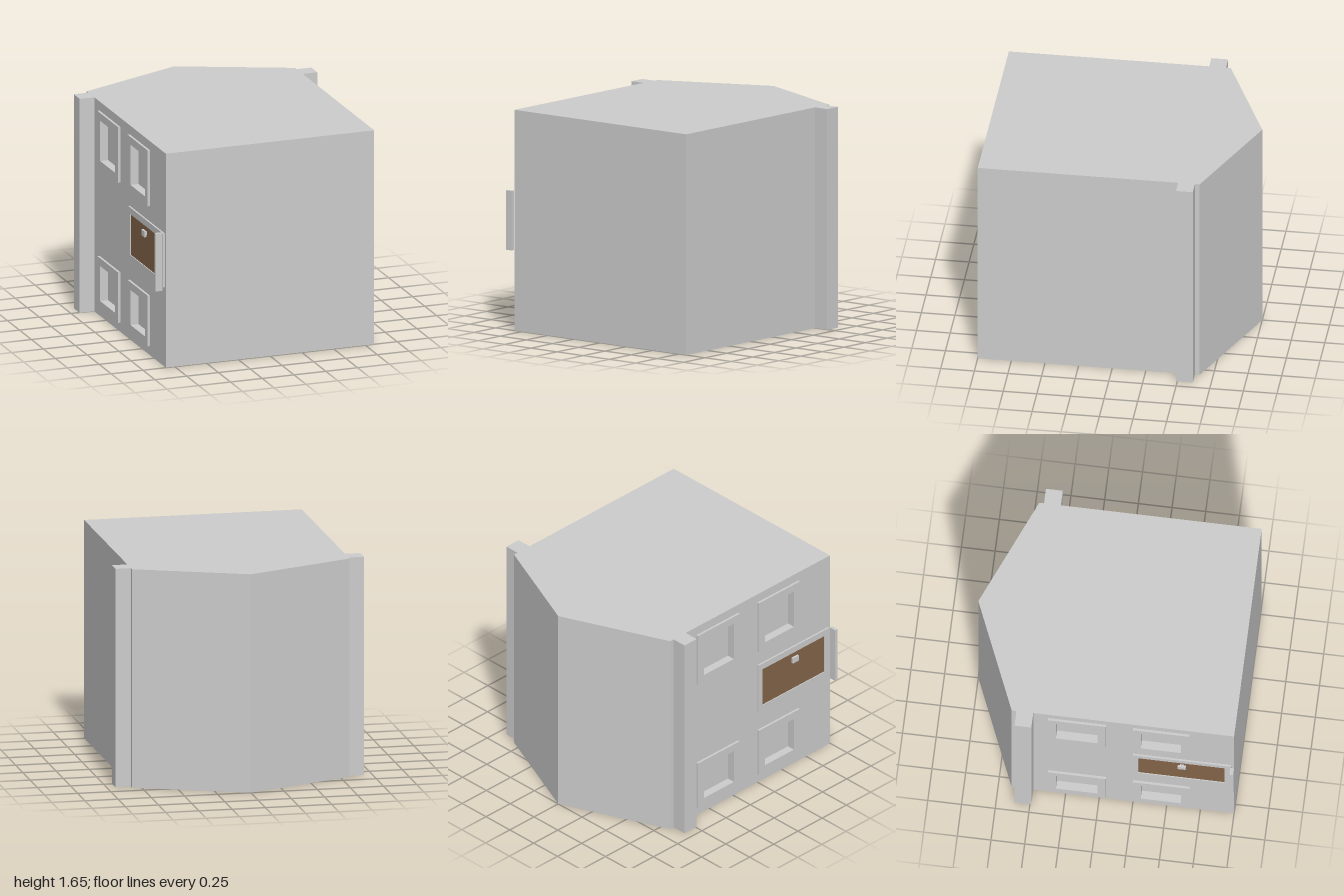
import * as THREE from 'three';

const H = 1.65;      // body height
const W = 0.82;      // half width of the body
const INNER = 0.775; // plane of the recessed panes

export function createModel() {
  const plaster = new THREE.MeshStandardMaterial({ color: 0xcccccc });
  plaster.name = 'plaster grey';
  const wood = new THREE.MeshStandardMaterial({ color: 0x836448 });
  wood.name = 'door brown';
  const house = new THREE.Group();
  house.name = 'house';

  const add = (geometry, material, name) => {
    const mesh = new THREE.Mesh(geometry, material);
    mesh.name = name;
    house.add(mesh);
  };
  const trace = (path, pts) => {
    path.setFromPoints(pts.map(([a, b]) => new THREE.Vector2(a, b)));
    return path;
  };
  const rect = (path, [z0, z1, y0, y1]) =>
    trace(path, [[z0, y0], [z1, y0], [z1, y1], [z0, y1]]);
  // Slab in the z-y plane with holes, from x = -inner out to x = -outer
  const sidePlate = (outline, holes, inner, outer) => {
    const shape = rect(new THREE.Shape(), outline);
    holes.forEach((h) => shape.holes.push(rect(new THREE.Path(), h)));
    return new THREE.ExtrudeGeometry(shape, { depth: outer - inner, bevelEnabled: false })
      .rotateY(-Math.PI / 2)
      .translate(-inner, 0, 0);
  };
  const box = (x0, x1, y0, y1, z0, z1) =>
    new THREE.BoxGeometry(x1 - x0, y1 - y0, z1 - z0)
      .translate((x0 + x1) / 2, (y0 + y1) / 2, (z0 + z1) / 2);
  const inset = ([z0, z1, y0, y1], b) => [z0 + b, z1 - b, y0 + b, y1 - b];

  // Body, eaves and gabled roof as one profile in x and -z
  const profile = trace(new THREE.Shape(), [
    [-INNER, -1], [W, -1], [W, 0.49], [0.935, 0.49], [0.935, 0.615], [W, 0.615],
    [W, 0.65], [0, 1], [-W, 0.65], [-W, 0.615], [-0.935, 0.615], [-0.935, 0.49],
    [-INNER, 0.49],
  ]);
  add(new THREE.ExtrudeGeometry(profile, { depth: H, bevelEnabled: false })
    .rotateX(-Math.PI / 2), plaster, 'bodyAndRoof');

  // Facade wall with four window openings
  const windows = [];
  for (const [z0, z1] of [[-0.38, 0.05], [0.25, 0.67]])
    for (const [y0, y1] of [[0.07, 0.46], [1.15, 1.58]])
      windows.push([z0, z1, y0, y1]);
  add(sidePlate([-0.49, 1, 0, H], windows.map((w) => inset(w, 0.06)), INNER, W),
    plaster, 'facadeWall');

  // Window frames
  windows.forEach((w) =>
    add(sidePlate(w, [inset(w, 0.06)], W, 0.838), plaster, 'windowFrame'));

  // Door with frame, knob and step
  const opening = [0.29, 0.93, 0.665, 0.98];
  add(sidePlate([0.25, 0.98, 0.615, 1.03], [opening], W, 0.834), plaster, 'doorFrame');
  add(sidePlate(opening, [], W, 0.827), wood, 'door');
  add(box(-0.84, -0.825, 0.915, 0.94, 0.6, 0.63), plaster, 'knobStem');
  add(box(-0.855, -0.838, 0.905, 0.95, 0.585, 0.645), plaster, 'doorKnob');
  add(box(-0.9, -0.847, 0.595, 1.04, 0.975, 1), plaster, 'doorStep');

  return house;
}
